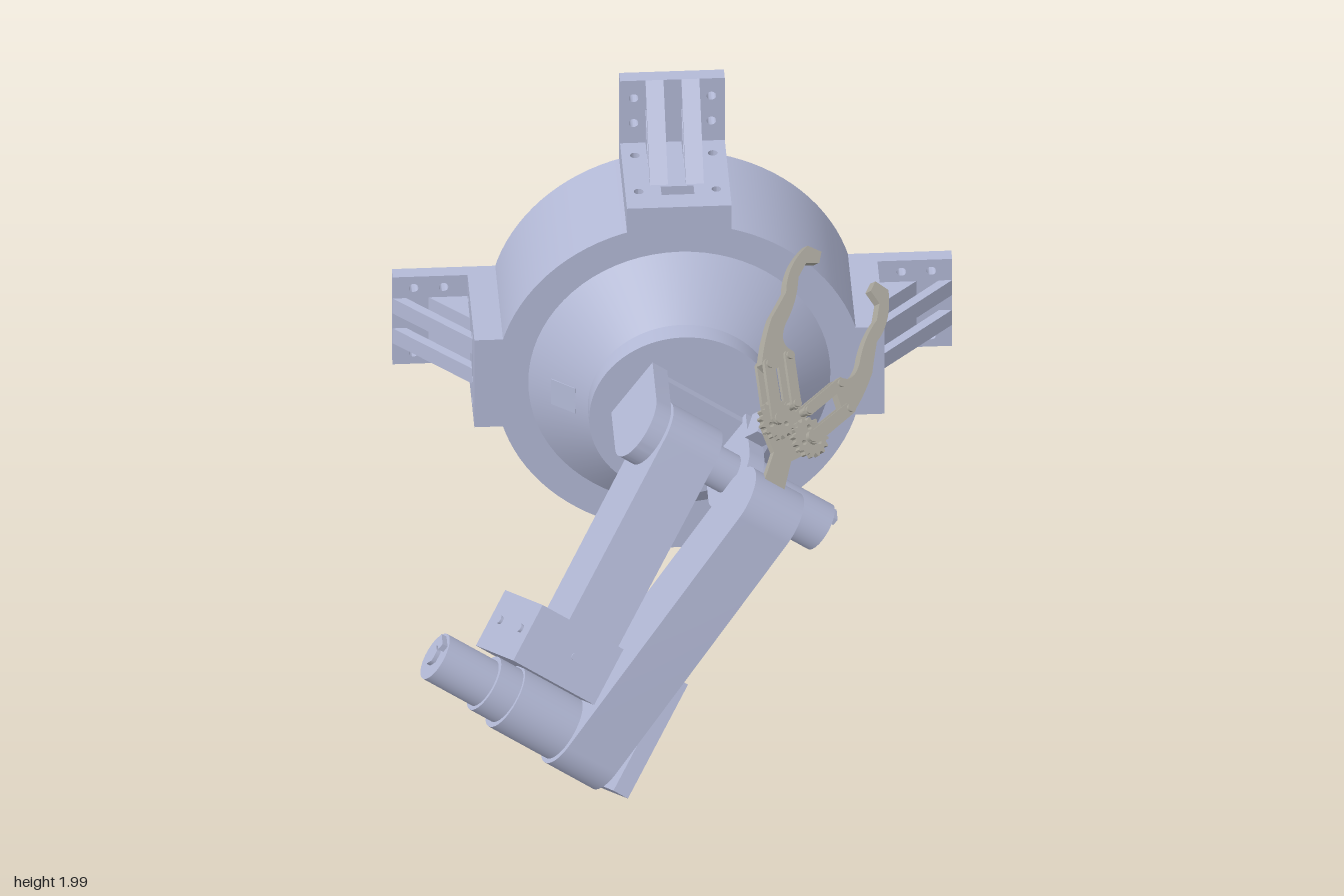
import * as THREE from 'three';
import { toCreasedNormals } from 'three/addons/utils/BufferGeometryUtils.js';

const body = new THREE.MeshStandardMaterial({ color: 0xb3b9d6 });
const metal = new THREE.MeshStandardMaterial({ color: 0xa9a69c });

function add(parent, name, geo, mat = body) {
  const m = new THREE.Mesh(geo, mat);
  m.name = name;
  parent.add(m);
  return m;
}
function group(parent, name) {
  const g = new THREE.Group();
  g.name = name;
  parent.add(g);
  return g;
}
// Box given by its extents on each axis
function box(x0, x1, y0, y1, z0, z1) {
  return new THREE.BoxGeometry(x1 - x0, y1 - y0, z1 - z0)
    .translate((x0 + x1) / 2, (y0 + y1) / 2, (z0 + z1) / 2);
}
// Cylinder along z, from z0 (radius r0) to z1 (radius r1)
const discZ = (r0, r1, z0, z1, n = 72) =>
  new THREE.CylinderGeometry(r1, r0, z1 - z0, n).rotateX(Math.PI / 2).translate(0, 0, (z0 + z1) / 2);
// Cylinder along x through (y, z)
const rodX = (r, x0, x1, y, z, n = 40) =>
  new THREE.CylinderGeometry(r, r, x1 - x0, n).rotateZ(-Math.PI / 2).translate((x0 + x1) / 2, y, z);

const extrude = (shape, depth) => toCreasedNormals(
  new THREE.ExtrudeGeometry(shape, { depth, bevelEnabled: false, curveSegments: 20 }), 0.5);
const poly = (pts) => new THREE.Shape(pts.map(([x, y]) => new THREE.Vector2(x, y)));
const rect = (x0, x1, y0, y1) => poly([[x0, y0], [x1, y0], [x1, y1], [x0, y1]]);
const hole = (x, y, r) => new THREE.Path().absarc(x, y, r, 0, Math.PI * 2, true);
// Outline with round ends of radius r around p and s around q
function capsule(p, q, r, s) {
  const a = Math.atan2(q[1] - p[1], q[0] - p[0]), h = Math.PI / 2;
  return new THREE.Shape()
    .absarc(p[0], p[1], r, a + h, a + 3 * h, false)
    .absarc(q[0], q[1], s, a - h, a + h, false);
}
// Extrude along x; the shape is drawn in (-z, y)
const extrudeX = (shape, x0, x1) => extrude(shape, x1 - x0).rotateY(Math.PI / 2).translate(x0, 0, 0);

function addBase(root) {
  const base = group(root, 'base');
  add(base, 'drum', discZ(0.615, 0.615, -0.78, -0.34, 96));
  add(base, 'cone', discZ(0.505, 0.315, -0.34, -0.185));
  add(base, 'turntable', discZ(0.315, 0.315, -0.185, -0.11));
  const cover = add(base, 'coneWindow', new THREE.BoxGeometry(0.1, 0.1, 0.01));
  cover.position.set(-0.39, 0, -0.252);
  cover.rotation.y = -0.67;
  const side = add(base, 'drumWindow', new THREE.BoxGeometry(0.09, 0.02, 0.11));
  side.position.set(0.33, -0.515, -0.585);
  side.rotation.z = Math.atan2(0.33, 0.515);

  // Four mounting brackets around the drum
  for (let i = 0; i < 4; i++) {
    const b = group(base, 'mountBracket');
    b.rotation.z = i * Math.PI / 2;
    const back = rect(-0.175, 0.175, 0.55, 0.935);
    const inner = rect(-0.175, 0.175, 0.34, 0.73);
    for (const x of [-0.13, 0.13]) {
      for (const y of [0.765, 0.865]) back.holes.push(hole(x, y, 0.016));
      for (const y of [0.44, 0.655]) inner.holes.push(hole(x, y, 0.016));
    }
    inner.holes.push(rect(-0.055, 0.055, 0.415, 0.465));
    add(b, 'bracketBackPlate', extrude(back, 0.05).translate(0, 0, -0.78));
    add(b, 'bracketInnerPlate', extrude(inner, 0.135).rotateX(-Math.PI / 2).translate(0, 0.55, 0));
    for (const x of [-0.09, 0.03]) {
      add(b, 'bracketStrut', extrudeX(
        poly([[0.475, 0.685], [0.52, 0.685], [0.73, 0.89], [0.73, 0.935]]), x, x + 0.06));
      add(b, 'bracketGusset', extrudeX(
        poly([[0.6, 0.685], [0.73, 0.685], [0.73, 0.815]]), x, x + 0.06));
    }
  }
}

// Motor along x, from x0 (joint side) to x1 (free end)
function addMotor(parent, name, x0, x1, y, z) {
  const m = group(parent, name), d = Math.sign(x1 - x0);
  const rod = (r, a, b, n) => rodX(r, Math.min(a, b), Math.max(a, b), y, z, n);
  add(m, 'motorCollar', rod(0.1, x0, x0 + d * 0.09));
  add(m, 'motorCan', rod(0.085, x0, x1));
  add(m, 'motorCap', rod(0.035, x1, x1 + d * 0.015, 6));
  add(m, 'motorTerminal', box(x1 - 0.02, x1 + 0.02, y + 0.045, y + 0.07, z - 0.03, z + 0.03));
}

function addGripper(arm) {
  const g = group(arm, 'gripper');
  g.position.set(0.135, 0.39, 0.35);
  g.rotation.x = Math.atan2(-0.81, 0.59);
  add(g, 'gripperStem', extrude(poly([[-0.03, -0.21], [0.05, -0.21], [0.04, -0.1], [0.1, -0.03],
    [0.07, 0.05], [-0.07, 0.05], [-0.1, -0.03], [-0.03, -0.1]]), 0.025).translate(0, 0, -0.035), metal);
  add(g, 'gripperServo', box(-0.1, -0.03, -0.05, 0.04, -0.12, -0.035));
  // Toothed gear outline
  const teeth = [];
  for (let i = 0; i < 64; i++) {
    const r = i % 4 < 2 ? 0.068 : 0.058, a = i * Math.PI / 32;
    teeth.push([r * Math.cos(a), r * Math.sin(a)]);
  }
  for (const s of [-1, 1]) {
    const half = group(g, s > 0 ? 'leftJaw' : 'rightJaw');
    const pin = (x, y, r = 0.014) => add(half, 'pin', discZ(r, r, -0.04, 0.04, 16).translate(s * x, y, 0), metal);
    const gear = poly(teeth);
    for (let k = 0; k < 3; k++) gear.holes.push(hole(0.034 * Math.cos(k * 2.1), 0.034 * Math.sin(k * 2.1), 0.009));
    add(half, 'gear', extrude(gear, 0.025).translate(s * 0.067, 0, -0.005), metal);
    // Parallel bars in front of and behind the finger
    for (const z of [-0.035, 0.016]) {
      add(half, 'outerBar', extrude(capsule([s * 0.075, 0], [s * 0.165, 0.16], 0.022, 0.02), 0.016).translate(0, 0, z), metal);
      add(half, 'innerBar', extrude(capsule([s * 0.025, 0.08], [s * 0.105, 0.225], 0.018, 0.018), 0.014).translate(0, 0, z), metal);
    }
    add(half, 'baseArm', extrude(capsule([0, 0.0], [s * 0.025, 0.08], 0.025, 0.02), 0.02).translate(0, 0, -0.035), metal);
    pin(0.067, 0, 0.02); pin(0.165, 0.16); pin(0.025, 0.08); pin(0.105, 0.225);
    // Curved finger with a hooked tip
    const f = new THREE.Shape();
    f.moveTo(s * 0.185, 0.15);
    f.lineTo(s * 0.15, 0.14);
    f.lineTo(s * 0.085, 0.215);
    f.lineTo(s * 0.1, 0.25);
    f.quadraticCurveTo(s * 0.155, 0.25, s * 0.15, 0.33);
    f.quadraticCurveTo(s * 0.135, 0.42, s * 0.16, 0.5);
    f.lineTo(s * 0.15, 0.56);
    f.lineTo(s * 0.105, 0.585);
    f.lineTo(s * 0.11, 0.625);
    f.lineTo(s * 0.165, 0.62);
    f.quadraticCurveTo(s * 0.215, 0.52, s * 0.185, 0.43);
    f.quadraticCurveTo(s * 0.195, 0.37, s * 0.205, 0.32);
    f.quadraticCurveTo(s * 0.205, 0.23, s * 0.185, 0.15);
    add(half, 'finger', extrude(f, 0.036).translate(0, 0, -0.018), metal);
  }
}

function addArm(root) {
  // Every arm joint turns about this group's x axis
  const arm = group(root, 'arm');
  arm.rotation.z = -35 * Math.PI / 180;

  // Shoulder clevis
  for (const [x0, x1] of [[-0.21, -0.15], [0.17, 0.23]])
    add(arm, 'shoulderLug', extrudeX(capsule([0.15, 0], [-0.11, 0], 0.12, 0.12), x0, x1));
  add(arm, 'shoulderPlate', box(-0.21, 0.23, -0.1, 0.1, -0.12, -0.08));
  add(arm, 'shoulderShaft', rodX(0.07, -0.2, 0.25, 0, 0.1));
  addMotor(arm, 'shoulderMotor', 0.23, 0.55, -0.01, 0.1);

  // Upper arm from shoulder to elbow bracket
  add(arm, 'upperArm', extrudeX(capsule([-0.465, -0.61], [-0.11, 0], 0.115, 0.12), -0.14, 0.06));

  // Elbow bracket, aligned with the upper arm
  const eb = group(arm, 'elbowBracket');
  eb.position.set(0, -0.87, 0.615);
  eb.rotation.x = Math.atan2(-0.5, 0.865);
  add(eb, 'elbowBlock', box(-0.27, 0.06, 0.11, 0.32, -0.2, 0.17));
  add(eb, 'elbowBridge', box(0.06, 0.27, 0.11, 0.32, -0.2, -0.12));
  add(eb, 'elbowSidePlate', box(0.266, 0.325, -0.11, 0.32, -0.2, 0.165));
  for (const z of [-0.1, 0.1]) add(eb, 'elbowBolt', rodX(0.014, -0.28, -0.2, 0.22, z, 16));
  add(eb, 'elbowBolt', discZ(0.014, 0.014, -0.205, 0.175, 16).translate(-0.08, 0.22, 0));

  // Elbow joint and motor
  add(arm, 'elbowHousing', rodX(0.115, -0.17, 0.065, -0.87, 0.615));
  add(arm, 'elbowShaft', rodX(0.07, 0.06, 0.28, -0.87, 0.615));
  addMotor(arm, 'elbowMotor', -0.17, -0.46, -0.865, 0.615);

  // Forearm from elbow to wrist
  add(arm, 'forearm', extrudeX(capsule([-0.615, -0.87], [-0.51, 0.137], 0.13, 0.125), 0.068, 0.264));
  for (const v of [0.12, 0.155])
    add(arm, 'wristBolt', rodX(0.012, 0.26, 0.268, v, 0.45, 12));

  addGripper(arm);
}

export function createModel() {
  const model = new THREE.Group();
  model.name = 'robotArm';
  const root = group(model, 'assembly');
  root.position.y = 1.065;
  addBase(root);
  addArm(root);
  return model;
}
